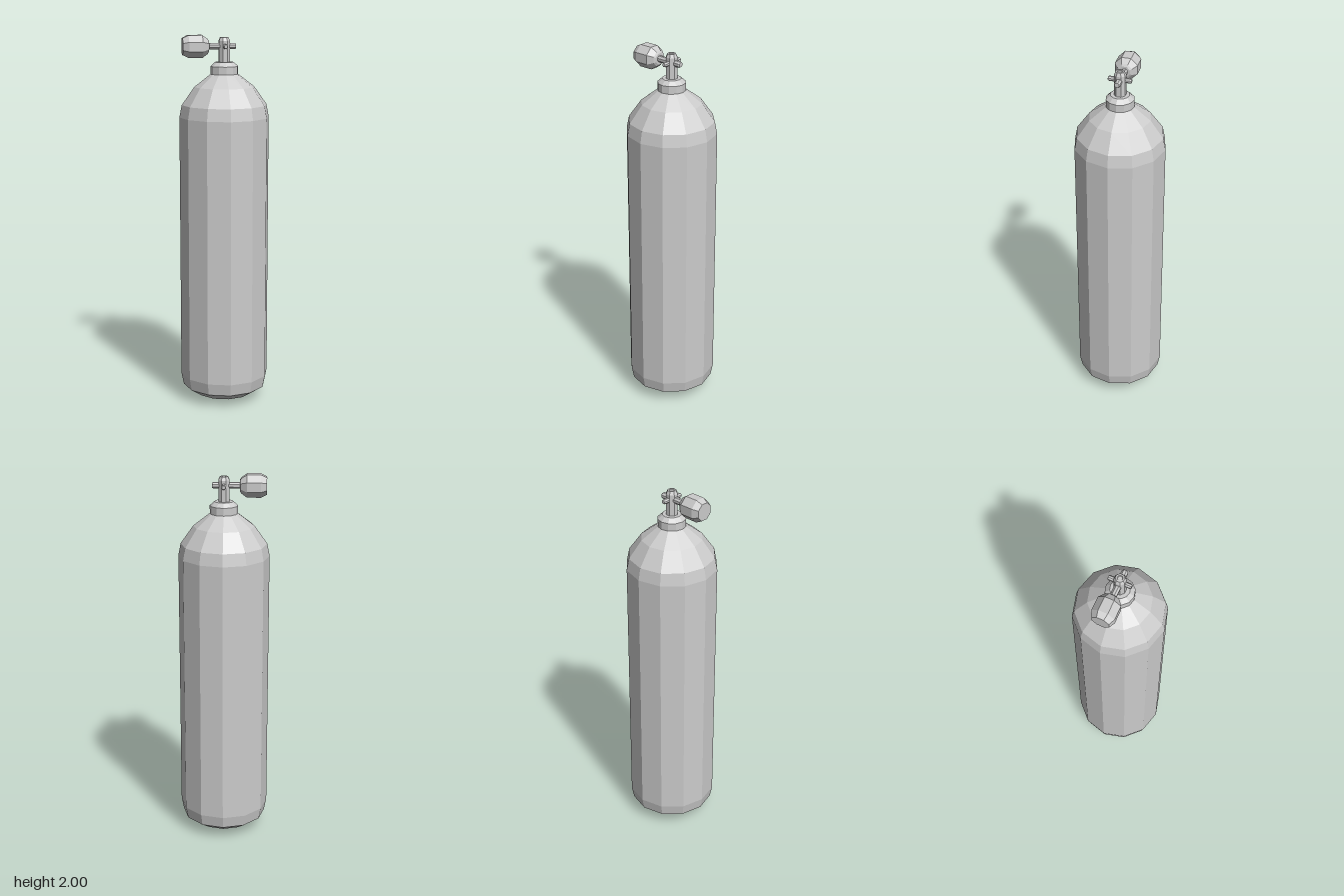
import * as THREE from 'three';

const material = new THREE.MeshStandardMaterial({ color: 0xcccccc, flatShading: true });

// Faceted solid of revolution; profile is [radius, height] from bottom to top
function turned(name, profile, sides, phase = 0) {
  const points = profile.map(([r, y]) => new THREE.Vector2(r, y));
  const mesh = new THREE.Mesh(new THREE.LatheGeometry(points, sides, phase), material);
  mesh.name = name;
  return mesh;
}

// Octagonal profile given by its flat-to-flat half width
function octagonal(name, profile) {
  const k = 1 / Math.cos(Math.PI / 8);
  return turned(name, profile.map(([r, y]) => [r * k, y]), 8, Math.PI / 8);
}

export function createModel() {
  const model = new THREE.Group();
  const axisY = 1.943;

  // Twelve-sided cylinder with rounded base and shoulder
  model.add(turned('tank', [
    [0, 0], [0.09, 0.004], [0.16, 0.03], [0.228, 0.075], [0.241, 0.14],
    [0.241, 1.57], [0.228, 1.635], [0.161, 1.73], [0.07, 1.80], [0, 1.80],
  ], 12));

  // Neck collar
  model.add(turned('collar', [
    [0, 1.79], [0.074, 1.79], [0.074, 1.838], [0.05, 1.86], [0, 1.86],
  ], 12));

  // Valve post with stepped cap
  model.add(octagonal('valveStem', [
    [0, 1.85], [0.029, 1.85], [0.029, 1.972], [0.021, 1.99], [0.013, 1.99], [0.011, 1.985], [0, 1.985],
  ]));

  // Outlet pair running front to back
  const outlet = octagonal('outletBar', [
    [0, -0.061], [0.009, -0.061], [0.012, -0.055], [0.012, 0.055], [0.009, 0.061], [0, 0.061],
  ]);
  outlet.rotation.x = Math.PI / 2;
  outlet.position.y = axisY;
  model.add(outlet);

  // Sideways spindle, from the knob through the post
  const spindle = octagonal('spindle', [
    [0, -0.062], [0.012, -0.062], [0.016, -0.055], [0.016, 0.10], [0, 0.10],
  ]);
  spindle.rotation.z = Math.PI / 2;
  spindle.position.y = axisY;
  model.add(spindle);

  // Hand knob on the right
  const knob = octagonal('knob', [
    [0, 0.083], [0.028, 0.083], [0.038, 0.089], [0.059, 0.119],
    [0.059, 0.192], [0.044, 0.223], [0, 0.223],
  ]);
  knob.rotation.z = Math.PI / 2;
  knob.position.y = axisY;
  model.add(knob);

  return model;
}
